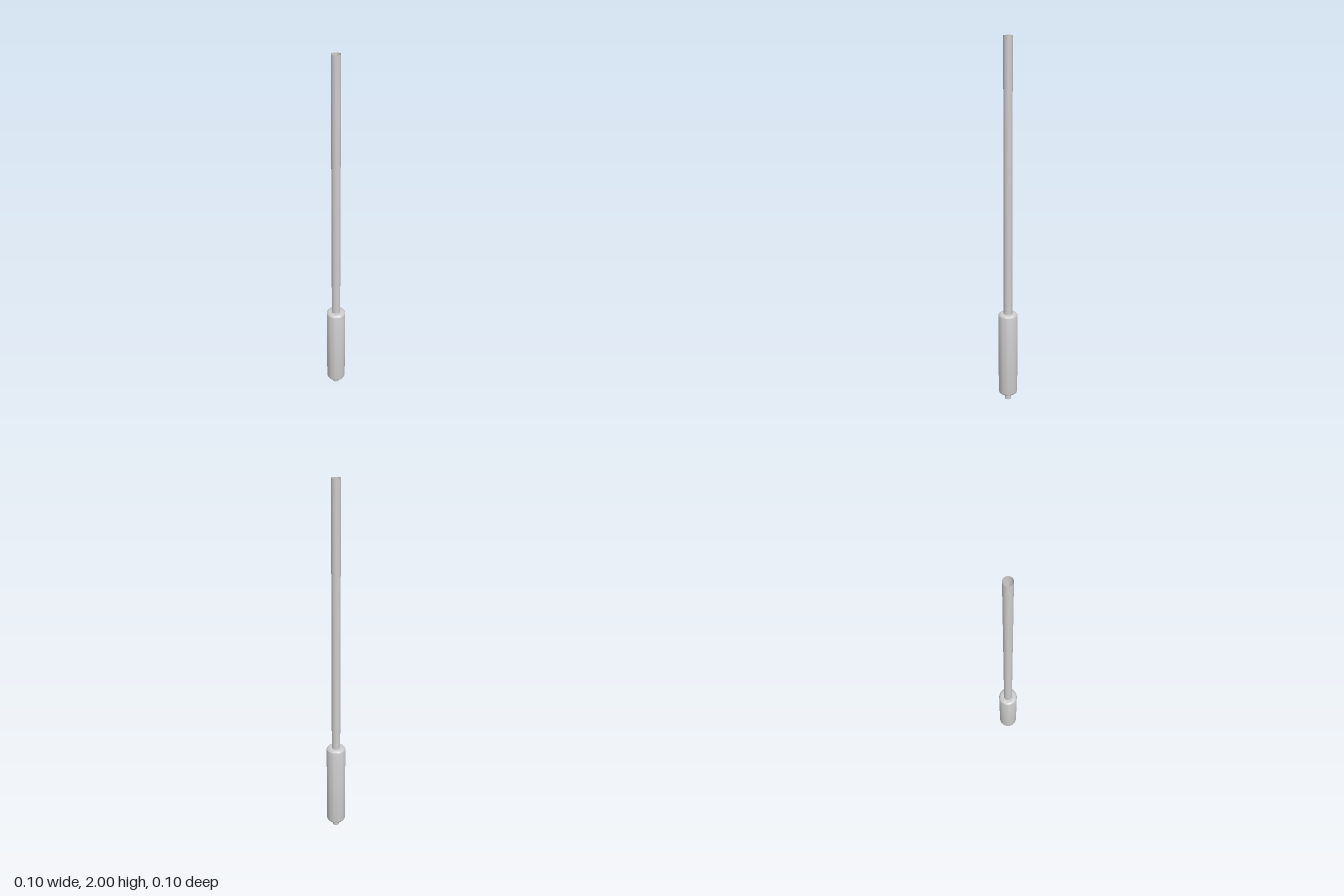
import * as THREE from 'three';
import { toCreasedNormals } from 'three/addons/utils/BufferGeometryUtils.js';

const PIN_R = 0.0185, ROD_R = 0.0235, GRIP_R = 0.0525;
const GRIP_BOTTOM = 0.038, GRIP_TOP = 0.53, FILLET = 0.014;

export function createModel() {
  const group = new THREE.Group();
  const material = new THREE.MeshStandardMaterial({ color: 0xcccccc, side: THREE.DoubleSide });

  const add = (name, geometry, y = 0) => {
    const mesh = new THREE.Mesh(geometry, material);
    mesh.name = name;
    mesh.position.y = y;
    group.add(mesh);
  };

  // Open hollow tube between two heights
  const tube = (name, radius, y0, y1) =>
    add(name, new THREE.CylinderGeometry(radius, radius, y1 - y0, 48, 1, true), (y0 + y1) / 2);

  tube('endPin', PIN_R, 0, GRIP_BOTTOM);
  tube('rod', ROD_R, GRIP_TOP, 2);

  // Hollow grip sleeve with rounded shoulders, meeting the pin and the rod
  const inner = GRIP_R - FILLET;
  const profile = new THREE.Path();
  profile.moveTo(PIN_R, GRIP_BOTTOM);
  profile.lineTo(inner, GRIP_BOTTOM);
  profile.absarc(inner, GRIP_BOTTOM + FILLET, FILLET, -Math.PI / 2, 0, false);
  profile.lineTo(GRIP_R, GRIP_TOP - FILLET);
  profile.absarc(inner, GRIP_TOP - FILLET, FILLET, 0, Math.PI / 2, false);
  profile.lineTo(ROD_R, GRIP_TOP);
  add('grip', toCreasedNormals(new THREE.LatheGeometry(profile.getPoints(6), 48), 0.6));

  return group;
}
